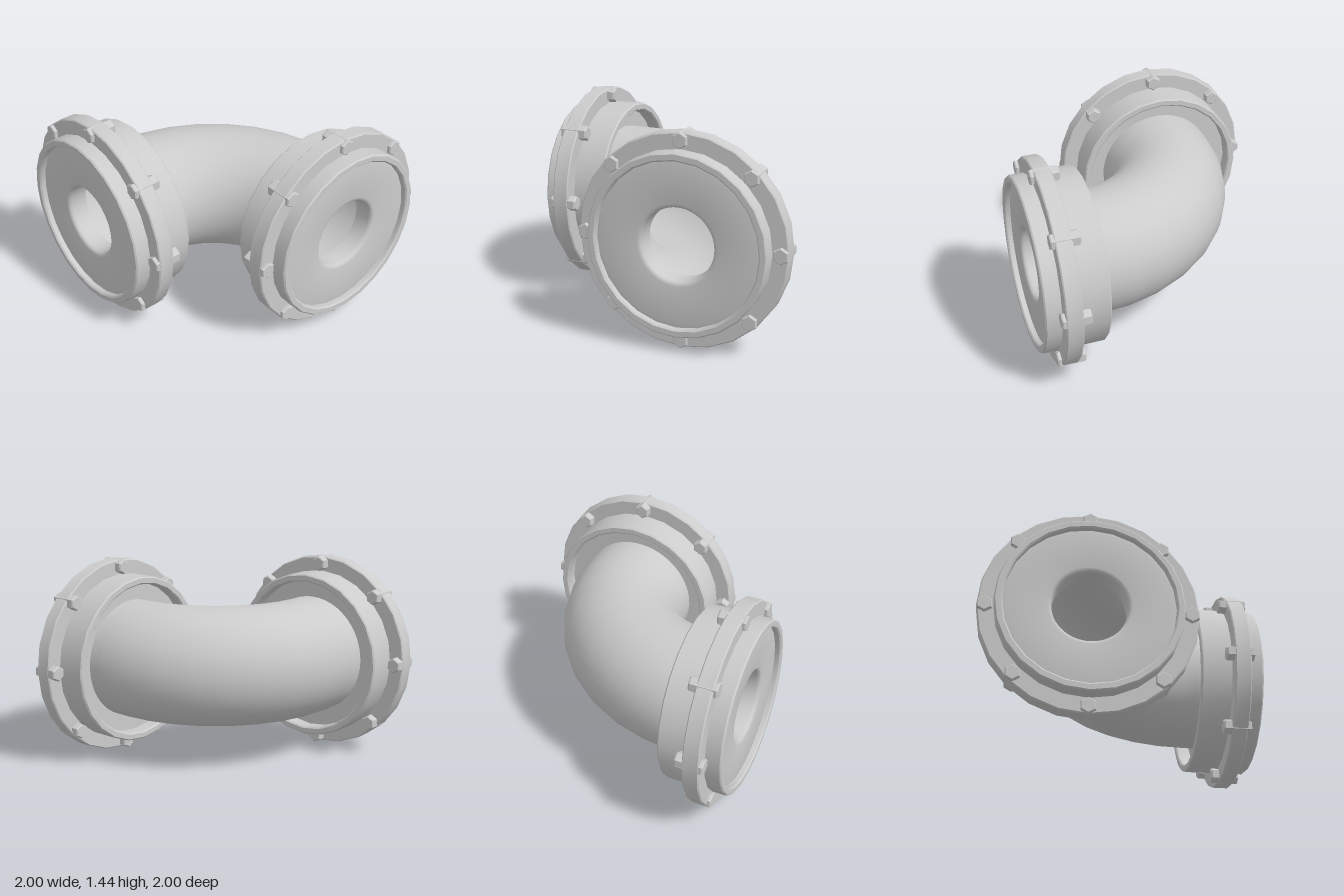
import * as THREE from 'three';
import { toCreasedNormals } from 'three/addons/utils/BufferGeometryUtils.js';

const BEND = 0.56;      // centre of the bend in x and z
const RADIUS = 0.843;   // bend radius
const PIPE = 0.43;      // pipe radius
const HEIGHT = 0.718;   // height of the pipe axis

const grey = new THREE.MeshStandardMaterial({ color: 0xcccccc });
const greyDouble = new THREE.MeshStandardMaterial({ color: 0xcccccc, side: THREE.DoubleSide });

function mesh(name, geometry, material = grey) {
  const m = new THREE.Mesh(geometry, material);
  m.name = name;
  return m;
}

// Turned part around the z axis; points are [radius, z]
function turned(points, sides, crease = 0.6) {
  const g = new THREE.LatheGeometry(points.map(([r, z]) => new THREE.Vector2(r, z)), sides);
  g.rotateX(Math.PI / 2);
  return toCreasedNormals(g, crease);
}

// One complete pipe end facing +z
function createCoupling() {
  const end = new THREE.Group();

  // Cup-shaped sleeve, open towards the bend
  end.add(mesh('sleeve', turned([
    [PIPE - 0.01, 0.66], [0.555, 0.66], [0.555, 0.57], [0.565, 0.56],
    [0.6, 0.56], [0.609, 0.57], [0.609, 0.99], [0.6, 1],
    [0.565, 1], [0.555, 0.99], [0.555, 0.955],
  ], 24)));

  // Recessed end plate with a rounded bore
  end.add(mesh('endPlate', turned([
    [0.557, 0.955], [0.53, 0.96], [0.275, 0.96], [0.26, 0.956],
    [0.25, 0.947], [0.245, 0.93], [0.245, 0.82], [0.44, 0.82],
  ], 48)));

  // Straight pipe stub inside the sleeve
  end.add(mesh('pipeStub', turned([[PIPE, BEND], [PIPE, 0.83]], 48), greyDouble));

  // Bolted flange ring
  end.add(mesh('flange', turned([
    [0.6, 0.775], [0.709, 0.775], [0.717, 0.783],
    [0.717, 0.882], [0.709, 0.89], [0.6, 0.89],
  ], 24)));

  // Eight hexagonal bolts through the flange
  const boltGeometry = turned([
    [0, 0.72], [0.046, 0.72], [0.055, 0.73],
    [0.055, 0.907], [0.048, 0.915], [0, 0.915],
  ], 6, 0.3);
  for (let i = 0; i < 8; i++) {
    const a = (i * Math.PI) / 4;
    const bolt = mesh('bolt', boltGeometry);
    bolt.position.set(0.665 * Math.cos(a), 0.665 * Math.sin(a), 0);
    end.add(bolt);
  }
  return end;
}

export function createModel() {
  const model = new THREE.Group();
  model.name = 'flangedPipeElbow';

  // Quarter-turn pipe
  const bend = new THREE.TorusGeometry(RADIUS, PIPE, 48, 8, Math.PI / 2);
  bend.rotateZ(Math.PI).rotateX(Math.PI / 2);
  const elbow = mesh('elbowPipe', bend, greyDouble);
  elbow.position.set(BEND, HEIGHT, BEND);
  model.add(elbow);

  // Matching ends facing +z and +x
  const front = createCoupling();
  front.name = 'frontCoupling';
  front.position.set(BEND - RADIUS, HEIGHT, 0);
  const side = createCoupling();
  side.name = 'leftCoupling';
  side.rotation.y = Math.PI / 2;
  side.position.set(0, HEIGHT, BEND - RADIUS);
  model.add(front, side);

  return model;
}
